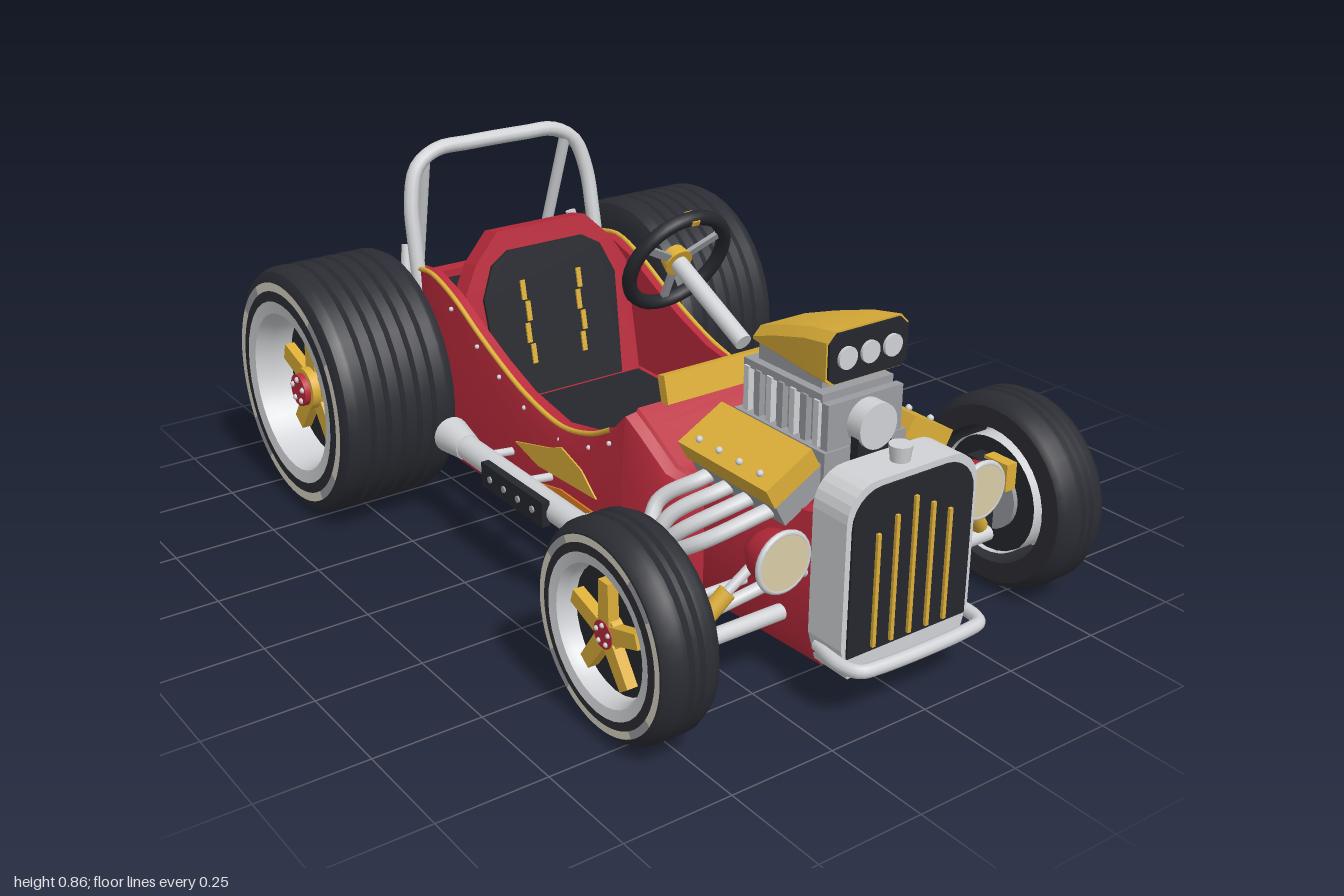
import * as THREE from 'three';
import { toCreasedNormals } from 'three/addons/utils/BufferGeometryUtils.js';

const V = (p) => new THREE.Vector3(...p);
const mat = (name, color, side = THREE.FrontSide) => {
  const m = new THREE.MeshStandardMaterial({ color, side });
  m.name = name;
  return m;
};

export function createModel() {
  const red = mat('body red', 0xb92a3b), gold = mat('gold', 0xdcae38), orange = mat('flame orange', 0xe58124);
  const chrome = mat('chrome', 0xd0d2d5, THREE.DoubleSide), grey = mat('cast grey', 0x9a9ca1);
  const black = mat('rubber black', 0x2c2d34), trim = mat('black trim', 0x26272d);
  const cream = mat('cream', 0xd9cda6), white = mat('sidewall white', 0xd8d2c2);
  const car = new THREE.Group();
  car.name = 'hotRod';

  // ---- helpers
  const add = (name, geo, m, pos = [0, 0, 0], rot = [0, 0, 0], parent = car) => {
    const mesh = new THREE.Mesh(geo, m);
    mesh.name = name;
    mesh.position.set(...pos);
    mesh.rotation.set(...rot);
    parent.add(mesh);
    return mesh;
  };
  const box = (name, size, m, pos, rot, parent) => add(name, new THREE.BoxGeometry(...size), m, pos, rot, parent);
  const rod = (name, a, b, r, m, r2 = r, seg = 14) => {
    const d = V(b).sub(V(a));
    const mesh = add(name, new THREE.CylinderGeometry(r2, r, d.length(), seg), m);
    mesh.position.copy(V(a).add(V(b)).multiplyScalar(0.5));
    mesh.quaternion.setFromUnitVectors(new THREE.Vector3(0, 1, 0), d.normalize());
    return mesh;
  };
  const tube = (name, pts, r, m, seg = 36) => add(name, new THREE.TubeGeometry(
    new THREE.CatmullRomCurve3(pts.map(V), false, 'centripetal'), seg, r, 10), m);
  const plate = (name, pts, depth, m, pos, rot, parent) => add(name, new THREE.ExtrudeGeometry(
    new THREE.Shape(pts.map((p) => new THREE.Vector2(...p))), { depth, bevelEnabled: false }), m, pos, rot, parent);
  const mirrored = (half) => [...half, ...half.slice().reverse().map(([x, ...r]) => [-x, ...r])];
  // closed cross-sections, counter-clockwise from the front, ordered by rising z
  const loft = (sections, crease = 0.5) => {
    const n = sections[0].length, idx = [];
    for (let i = 0; i < sections.length - 1; i++) for (let j = 0; j < n; j++) {
      const a = i * n + j, b = i * n + (j + 1) % n;
      idx.push(a, b, b + n, a, b + n, a + n);
    }
    const last = (sections.length - 1) * n;
    const cap = (s) => THREE.ShapeUtils.triangulateShape(s.map((p) => new THREE.Vector2(p[0], p[1])), []);
    cap(sections[0]).forEach(([a, b, c]) => idx.push(a, c, b));
    cap(sections.at(-1)).forEach(([a, b, c]) => idx.push(last + a, last + b, last + c));
    const g = new THREE.BufferGeometry();
    g.setAttribute('position', new THREE.Float32BufferAttribute(sections.flat(2), 3));
    g.setIndex(idx);
    return toCreasedNormals(g, crease);
  };

  // ---- body: open tub and solid nose
  const section = ([z, w, top], inner) => mirrored([
    [w * 0.88, 0.085, z], [w, 0.13, z], [w, 0.34, z], [w - 0.012, top, z], [w - 0.04, top + 0.004, z],
    [w - 0.045, inner ?? top + 0.012, z]]);
  const tub = [[-0.68, 0.25, 0.5], [-0.6, 0.28, 0.56], [-0.5, 0.29, 0.575], [-0.4, 0.29, 0.545], [-0.28, 0.29, 0.485],
    [-0.18, 0.29, 0.44], [-0.07, 0.29, 0.4], [0.08, 0.29, 0.375], [0.2, 0.29, 0.4], [0.28, 0.29, 0.44], [0.33, 0.287, 0.49]];
  add('tub', loft(tub.map((s) => section(s, 0.16))), red);
  add('cowlAndNose', loft([[0.33, 0.287, 0.49], [0.37, 0.28, 0.46], [0.44, 0.26, 0.39], [0.48, 0.235, 0.37],
    [0.5, 0.19, 0.37], [0.84, 0.165, 0.43]].map((s) => section(s))), red);
  box('floor', [0.49, 0.01, 0.9], trim, [0, 0.166, -0.12]);
  box('firewall', [0.485, 0.33, 0.008], trim, [0, 0.325, 0.325]);
  box('rearDeck', [0.46, 0.02, 0.17], trim, [0, 0.49, -0.565]);
  box('backPanel', [0.46, 0.38, 0.04], red, [0, 0.33, -0.665]);
  add('deckDome', new THREE.SphereGeometry(0.075, 20, 10, 0, Math.PI * 2, 0, Math.PI / 2), grey, [0, 0.5, -0.57]);
  box('dash', [0.36, 0.065, 0.025], gold, [0, 0.53, 0.335], [-0.25, 0, 0]);
  for (const s of [1, -1]) {
    tube('cockpitTrim', tub.slice(1, 10).map(([z, w, y]) => [s * (w - 0.012), y + 0.002, z]), 0.006, gold);
    tub.slice(3, 10).forEach(([z, w, y]) => add('rivet', new THREE.SphereGeometry(0.006, 8, 6), chrome,
      [s * (w - 0.006), y - 0.03, z]));
    add('towRing', new THREE.TorusGeometry(0.028, 0.007, 8, 20), chrome, [s * 0.13, 0.4, -0.692]);
    // flames: shape x runs along z
    const flame = (name, pts, m, x) => plate(name, pts.map(([z, y]) => [-z, y]), 0.004, m,
      [s > 0 ? x : -x - 0.004, 0, 0], [0, Math.PI / 2, 0]);
    flame('lowerFlame', [[0.325, 0.132], [0.24, 0.2], [0.02, 0.18], [-0.3, 0.205], [-0.22, 0.17], [-0.3, 0.15],
      [-0.3, 0.132], [-0.05, 0.142]], gold, 0.29);
    flame('flameHeart', [[0.32, 0.14], [0.27, 0.225], [0.1, 0.23], [-0.04, 0.2], [0.04, 0.165]], orange, 0.294);
    flame('upperFlame', [[0.24, 0.26], [0.18, 0.31], [0.1, 0.335], [0.05, 0.315], [-0.1, 0.275], [0, 0.25]], gold, 0.29);
  }

  // ---- seat
  const seat = new THREE.Group();
  seat.name = 'seat';
  seat.position.set(0, 0.18, -0.36);
  seat.rotation.x = -0.2;
  car.add(seat);
  plate('seatBack', mirrored([[0.24, 0], [0.24, 0.36], [0.2, 0.43], [0.13, 0.5]]), 0.06, red, [0, 0, -0.03], undefined, seat);
  plate('seatBackPad', mirrored([[0.18, 0.06], [0.195, 0.34], [0.16, 0.42], [0.11, 0.45]]), 0.008, trim, [0, 0, 0.03], undefined, seat);
  for (const s of [1, -1]) for (let i = 0; i < 4; i++)
    box('harness', [0.013, 0.05, 0.006], gold, [s * (0.075 + 0.008 * (i % 2)), 0.18 + i * 0.055, 0.04], undefined, seat);
  box('seatBase', [0.48, 0.1, 0.36], red, [0, 0.21, -0.16]);
  box('seatCushion', [0.39, 0.03, 0.29], trim, [0, 0.268, -0.14]);

  // ---- steering and pedals
  const steer = new THREE.Group();
  steer.name = 'steeringWheel';
  steer.position.set(0, 0.735, 0.14);
  steer.rotation.x = 0.45;
  car.add(steer);
  add('steeringRim', new THREE.TorusGeometry(0.125, 0.017, 10, 36), trim, undefined, undefined, steer);
  for (let i = 0; i < 3; i++) {
    const a = Math.PI / 6 + i * Math.PI * 2 / 3;
    box('steeringSpoke', [0.115, 0.018, 0.01], grey, [Math.cos(a) * 0.06, Math.sin(a) * 0.06, 0], [0, 0, a], steer);
  }
  add('steeringHub', new THREE.CylinderGeometry(0.03, 0.035, 0.03, 20), gold, [0, 0, -0.005], [-Math.PI / 2, 0, 0], steer);
  box('rimMarker', [0.02, 0.012, 0.037], gold, [0, 0.125, 0], undefined, steer);
  rod('steeringColumn', [0, 0.735, 0.14], [0, 0.615, 0.385], 0.02, chrome);
  for (const x of [-0.09, 0.09]) box('pedal', [0.06, 0.06, 0.01], grey, [x, 0.24, 0.24], [-0.6, 0, 0]);

  // ---- engine
  box('engineBlock', [0.22, 0.27, 0.29], grey, [0, 0.395, 0.64]);
  box('blower', [0.17, 0.1, 0.25], grey, [0, 0.58, 0.63]);
  for (let i = 0; i < 7; i++) box('blowerFin', [0.2, 0.1, 0.016], i % 2 ? grey : chrome, [0, 0.58, 0.52 + i * 0.037]);
  box('blowerTop', [0.19, 0.018, 0.25], grey, [0, 0.635, 0.63]);
  box('intakeNeck', [0.15, 0.045, 0.2], grey, [0, 0.66, 0.63]);
  const scoop = (z, w, lo, hi) => mirrored([[w - 0.015, lo, z], [w, lo + 0.012, z], [w, hi - 0.02, z], [w - 0.02, hi, z]]);
  add('scoop', loft([scoop(0.515, 0.08, 0.672, 0.71), scoop(0.6, 0.09, 0.672, 0.74), scoop(0.7, 0.102, 0.67, 0.77),
    scoop(0.775, 0.108, 0.67, 0.783)], 0.6), gold);
  plate('scoopMouth', scoop(0, 0.104, 0.674, 0.779).map((p) => p.slice(0, 2)), 0.006, trim, [0, 0, 0.775]);
  const faceZ = [Math.PI / 2, 0, 0];
  for (const x of [-0.06, 0, 0.06]) add('airInlet', new THREE.CylinderGeometry(0.024, 0.024, 0.008, 20), chrome, [x, 0.725, 0.784], faceZ);
  box('blowerFrontPlate', [0.2, 0.1, 0.02], grey, [0, 0.58, 0.77]);
  add('blowerPulley', new THREE.CylinderGeometry(0.05, 0.05, 0.04, 24), chrome, [0, 0.575, 0.8], faceZ);
  add('crankPulley', new THREE.CylinderGeometry(0.05, 0.05, 0.03, 24), grey, [0, 0.41, 0.8], faceZ);
  box('driveBelt', [0.09, 0.16, 0.022], trim, [0, 0.49, 0.8]);
  for (const s of [1, -1]) {
    box('valveCover', [0.13, 0.05, 0.29], gold, [s * 0.185, 0.495, 0.635], [0, 0, -s * 0.5]);
    box('cylinderHead', [0.13, 0.06, 0.28], grey, [s * 0.155, 0.45, 0.635], [0, 0, -s * 0.5]);
    for (let i = 0; i < 4; i++) {
      const z = 0.535 + i * 0.066;
      add('coverBolt', new THREE.SphereGeometry(0.008, 8, 6), chrome, [s * 0.232, 0.502, z]);
      tube('exhaustHeader', [[s * 0.15, 0.42, z], [s * 0.23, 0.41, z], [s * (0.3 + i * 0.014), 0.36, z - 0.05],
        [s * (0.35 + i * 0.008), 0.28, 0.5 + i * 0.015], [s * 0.385, 0.25, 0.4]], 0.017, chrome);
    }
    // side exhaust
    rod('sidePipe', [s * 0.385, 0.25, 0.5], [s * 0.375, 0.25, -0.2], 0.03, chrome);
    rod('exhaustTip', [s * 0.375, 0.25, -0.18], [s * 0.37, 0.25, -0.27], 0.032, chrome, 0.045, 20);
    box('heatShield', [0.02, 0.06, 0.26], trim, [s * 0.412, 0.25, 0.09]);
    for (let i = 0; i < 4; i++) rod('shieldStud', [s * 0.41, 0.25, i * 0.06], [s * 0.426, 0.25, i * 0.06], 0.008, grey);
    for (const z of [-0.12, 0.05, 0.28]) rod('pipeBracket', [s * 0.28, 0.24, z], [s * 0.37, 0.25, z], 0.01, chrome);
  }

  // ---- radiator, grille, headlights
  const arch = (w, lo, hi, taper) => {
    const r = 0.075, half = [[w - taper, lo], [w, lo + 0.07]];
    for (let i = 0; i <= 6; i++) {
      const a = i * Math.PI / 12;
      half.push([w - r + r * Math.cos(a), hi - r + r * Math.sin(a)]);
    }
    return mirrored(half);
  };
  plate('radiatorShell', arch(0.175, 0.1, 0.527, 0.02), 0.1, chrome, [0, 0, 0.83]);
  plate('grille', arch(0.162, 0.15, 0.513, 0), 0.006, trim, [0, 0, 0.929]);
  [-2, -1, 0, 1, 2].forEach((i) => {
    const top = 0.47 - Math.abs(i) * 0.028;
    box('grilleBar', [0.009, top - 0.16, 0.008], gold, [i * 0.0485, (top + 0.16) / 2, 0.938]);
  });
  add('radiatorCap', new THREE.CylinderGeometry(0.025, 0.02, 0.04, 18), chrome, [0, 0.542, 0.885]);
  tube('frontBumper', [[-0.165, 0.145, 0.85], [-0.18, 0.145, 0.93], [-0.165, 0.145, 0.975], [-0.12, 0.145, 0.985],
    [0.12, 0.145, 0.985], [0.165, 0.145, 0.975], [0.18, 0.145, 0.93], [0.165, 0.145, 0.85]], 0.015, chrome, 60);
  const lamp = new THREE.LatheGeometry([[0, -0.09], [0.03, -0.082], [0.052, -0.05], [0.062, 0]].map((p) => new THREE.Vector2(...p)), 28);

  // ---- wheels: axle along x, outer face on +x
  const wheel = (name, R, h, ribs, pos, s) => {
    const g = new THREE.Group();
    g.name = name;
    g.position.set(...pos);
    g.rotation.y = s > 0 ? 0 : Math.PI;
    car.add(g);
    const c = 0.03, tread = h - c, step = 2 * tread / ribs, p = [[R * 0.7, -h], [R * 0.9, -h], [R - 0.01, -h + 0.01]];
    for (let i = 0; i < ribs; i++) {
      const y = -tread + i * step;
      p.push([R - (i ? 0.009 : 0), y], [R, y + 0.007], [R, y + step - 0.007]);
    }
    p.push([R, tread], [R - 0.01, h - 0.01], [R * 0.9, h], [R * 0.7, h], [R * 0.7, -h]);
    const lathe = (pts) => toCreasedNormals(new THREE.LatheGeometry(pts.map((q) => new THREE.Vector2(...q)), 36).rotateZ(-Math.PI / 2), 0.6);
    add('tyre', lathe(p), black, undefined, undefined, g);
    add('rim', lathe([[R * 0.6, -h], [R * 0.6, h * 0.75], [R * 0.64, h], [R * 0.74, h + 0.004]]), chrome, undefined, undefined, g);
    const disc = (n, r, x0, x1, m) => add(n, new THREE.CylinderGeometry(r, r, x1 - x0, 28).rotateZ(-Math.PI / 2), m, [(x0 + x1) / 2, 0, 0], undefined, g);
    disc('wheelDisc', R * 0.59, -h * 0.85, h * 0.4, trim);
    disc('brakeDrum', R * 0.35, -h * 1.02, -h * 0.85, grey);
    disc('hub', R * 0.17, h * 0.4, h * 0.75, gold);
    disc('hubCap', R * 0.13, h * 0.7, h * 0.85, red);
    for (let i = 0; i < 5; i++) {
      const a = i * Math.PI * 0.4, arm = new THREE.Group();
      arm.name = 'spoke';
      arm.rotation.x = a;
      g.add(arm);
      plate('spokeArm', [[-0.08 * R, 0.08 * R], [0.08 * R, 0.08 * R], [0.07 * R, 0.5 * R], [-0.07 * R, 0.5 * R]], 0.025, gold,
        [h * 0.45, 0, 0], [0, Math.PI / 2, 0], arm);
      add('wheelNut', new THREE.SphereGeometry(R * 0.025, 8, 6), chrome, [h * 0.85, R * 0.09, 0], undefined, arm);
    }
    for (let i = 0; i < 8; i++) {
      const len = i % 2 ? 0.42 : Math.PI / 2 - 0.42;
      const start = Math.floor(i / 2) * Math.PI / 2 + (i % 2 ? Math.PI / 2 - 0.42 : 0) + 1;
      add('sidewallBand', new THREE.RingGeometry(R * 0.82, R * 0.89, 12, 1, start, len).rotateY(Math.PI / 2),
        i % 2 ? grey : white, [h + 0.002, 0, 0], undefined, g);
    }
  };
  for (const s of [1, -1]) {
    wheel('rearWheel', 0.31, 0.152, 6, [s * 0.49, 0.318, -0.585], s);
    wheel('frontWheel', 0.232, 0.068, 3, [s * 0.532, 0.242, 0.7], s);
    // headlights
    add('headlightShell', lamp.clone().rotateX(Math.PI / 2), red, [s * 0.27, 0.37, 0.855]);
    add('headlightRing', new THREE.TorusGeometry(0.062, 0.007, 8, 28), chrome, [s * 0.27, 0.37, 0.857]);
    add('headlightLens', new THREE.CylinderGeometry(0.06, 0.06, 0.008, 28), cream, [s * 0.27, 0.37, 0.859], faceZ);
    rod('headlightStem', [s * 0.16, 0.29, 0.8], [s * 0.26, 0.33, 0.82], 0.012, chrome);
    // front suspension
    box('steeringKnuckle', [0.045, 0.2, 0.05], trim, [s * 0.437, 0.245, 0.7]);
    box('brakeCaliper', [0.03, 0.065, 0.07], gold, [s * 0.447, 0.32, 0.745]);
    rod('upperArm', [s * 0.16, 0.28, 0.77], [s * 0.42, 0.2, 0.71], 0.014, chrome);
    rod('radiusRod', [s * 0.41, 0.2, 0.7], [s * 0.22, 0.2, 0.42], 0.012, chrome);
    rod('shockBody', [s * 0.4, 0.2, 0.74], [s * 0.33, 0.28, 0.76], 0.02, gold);
    rod('shockRod', [s * 0.33, 0.28, 0.76], [s * 0.24, 0.35, 0.77], 0.011, chrome);
    rod('tieRodEnd', [s * 0.305, 0.11, 0.5], [s * 0.305, 0.16, 0.5], 0.007, gold);
    // rear axle ends and roll hoop braces
    box('rearBearing', [0.05, 0.1, 0.1], gold, [s * 0.315, 0.45, -0.57]);
    rod('rearStrut', [s * 0.3, 0.33, -0.62], [s * 0.25, 0.6, -0.68], 0.014, chrome);
    rod('hoopBrace', [s * 0.21, 0.82, -0.64], [s * 0.185, 0.38, -0.77], 0.015, chrome);
    add('tankStrap', new THREE.TorusGeometry(0.104, 0.008, 8, 32), chrome, [s * 0.125, 0.28, -0.77], [0, Math.PI / 2, 0]);
  }
  rod('frontAxle', [-0.43, 0.172, 0.74], [0.43, 0.172, 0.74], 0.018, chrome);
  rod('tieRod', [-0.42, 0.2, 0.63], [0.42, 0.2, 0.63], 0.01, chrome);
  rod('rearAxle', [-0.4, 0.318, -0.585], [0.4, 0.318, -0.585], 0.035, trim);

  // ---- roll hoop, fuel tank, rear bumper
  const hoop = [[0.268, 0.4, -0.56], [0.268, 0.62, -0.6], [0.262, 0.73, -0.62], [0.235, 0.81, -0.634], [0.175, 0.846, -0.64], [0.08, 0.85, -0.64]];
  tube('rollHoop', mirrored(hoop), 0.019, chrome, 60);
  const tank = [[0, -0.235], [0.07, -0.23], [0.098, -0.2], [0.1, 0.2], [0.07, 0.23], [0, 0.235]];
  tank.splice(3, 0, [0.1, -0.19]);
  add('fuelTank', new THREE.LatheGeometry(tank.map((p) => new THREE.Vector2(...p)), 32).rotateZ(-Math.PI / 2), gold, [0, 0.28, -0.77]);
  add('tankCap', new THREE.CylinderGeometry(0.026, 0.026, 0.025, 18), chrome, [0.045, 0.385, -0.77]);
  tube('rearBumper', mirrored([[0.19, 0.2, -0.68], [0.235, 0.185, -0.8], [0.25, 0.18, -0.9], [0.235, 0.18, -0.96],
    [0.18, 0.18, -0.983], [0.08, 0.18, -0.986]]), 0.014, chrome, 60);
  return car;
}
